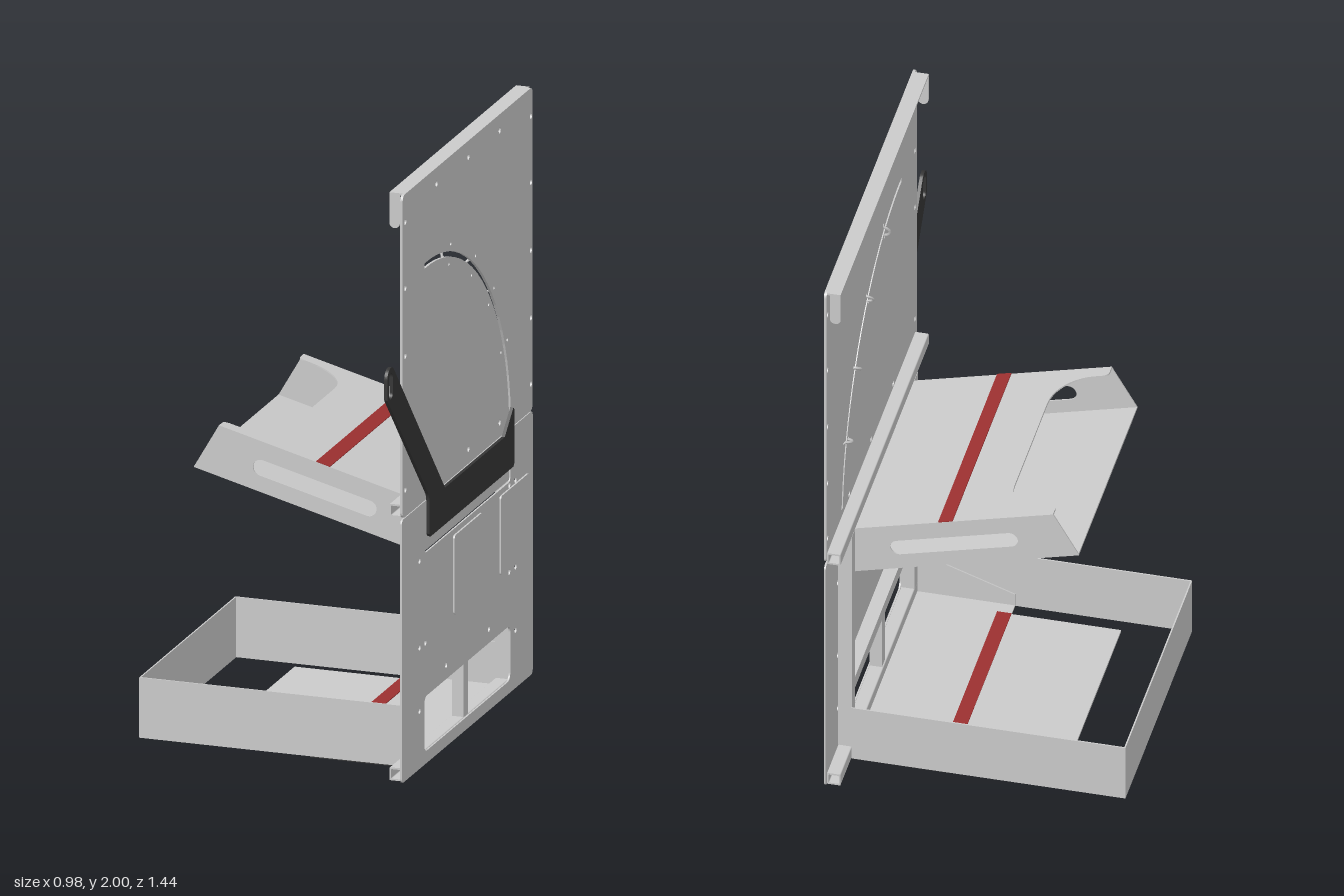
import * as THREE from 'three';

const grey = new THREE.MeshStandardMaterial({ color: 0xcacaca, name: 'light grey sheet' });
const black = new THREE.MeshStandardMaterial({ color: 0x353535, name: 'black' });
const red = new THREE.MeshStandardMaterial({ color: 0x9c3030, name: 'red' });

const V = (pts) => pts.map(([a, b]) => new THREE.Vector2(a, b));
const extrude = (shape, depth) => new THREE.ExtrudeGeometry(shape, { depth, bevelEnabled: false, curveSegments: 10 });

function roundRect(x0, y0, x1, y1, r, Type = THREE.Path) {
  const p = new Type();
  p.absarc(x1 - r, y1 - r, r, 0, Math.PI / 2);
  p.absarc(x0 + r, y1 - r, r, Math.PI / 2, Math.PI);
  p.absarc(x0 + r, y0 + r, r, Math.PI, Math.PI * 1.5);
  p.absarc(x1 - r, y0 + r, r, Math.PI * 1.5, Math.PI * 2);
  p.closePath();
  return p;
}

const circle = (x, y, r) => new THREE.Path().absarc(x, y, r, 0, Math.PI * 2);

export function createModel() {
  const root = new THREE.Group();

  function add(name, geo, mat = grey) {
    const m = new THREE.Mesh(geo, mat);
    m.name = name;
    root.add(m);
    return m;
  }
  function box(name, x0, x1, y0, y1, z0, z1, mat) {
    const g = new THREE.BoxGeometry(x1 - x0, y1 - y0, z1 - z0);
    g.translate((x0 + x1) / 2, (y0 + y1) / 2, (z0 + z1) / 2);
    return add(name, g, mat);
  }
  // Shape drawn in (-z, y), standing upright and facing +x
  function upright(name, shape, x0, x1, mat) {
    const g = extrude(shape, x1 - x0);
    g.rotateY(Math.PI / 2).translate(x0, 0, 0);
    return add(name, g, mat);
  }
  // Shape drawn in (x, y), extruded along z
  function along(name, shape, z0, z1, mat) {
    return add(name, extrude(shape, z1 - z0).translate(0, 0, z0), mat);
  }

  // Upper panel with the curved guide slot
  const P0 = 0.466, P1 = 0.475;
  const cu = -0.31, cy = 0.9, R = 0.8;
  const upper = roundRect(-0.54, 0.903, 0.705, 2, 0.02, THREE.Shape);
  const slot = new THREE.Path();
  slot.absarc(cu, cy, R + 0.009, 0.08, 1.595, false);
  slot.absarc(cu, cy, R - 0.009, 1.595, 0.08, true);
  slot.closePath();
  upper.holes.push(slot);
  for (const y of [1.905, 1.68, 1.45, 1.22, 0.995]) {
    upper.holes.push(circle(0.69, y, 0.01));
    if (y !== 1.22) upper.holes.push(circle(-0.515, y, 0.01));
  }
  for (const u of [-0.215, 0.09, 0.39])
    for (const y of [1.945, 0.953]) upper.holes.push(circle(u, y, 0.01));

  // Strap clips bridging the slot, with fixing holes either side
  for (const a of [0.385, 0.685, 0.975, 1.29]) {
    const rad = new THREE.Vector3(0, Math.sin(a), -Math.cos(a));
    const out = new THREE.Vector3(-1, 0, 0);
    const at = new THREE.Vector3(P0, cy + R * rad.y, 0.31 + R * rad.z);
    const g = new THREE.TorusGeometry(0.02, 0.005, 4, 6, Math.PI);
    g.applyMatrix4(new THREE.Matrix4().makeBasis(rad, out, rad.clone().cross(out)).setPosition(at));
    add('slotClip', g);
    for (const d of [-0.033, 0.033])
      upper.holes.push(circle(cu + (R + d) * Math.cos(a), cy + (R + d) * Math.sin(a), 0.006));
  }
  upright('upperPanel', upper, P0, P1);

  // Lower panel with shelf opening and tray window
  const lower = roundRect(-0.54, 0.003, 0.715, 0.897, 0.015, THREE.Shape);
  lower.holes.push(roundRect(-0.32, 0.72, 0.5, 0.88, 0.015));
  lower.holes.push(roundRect(-0.325, 0.045, 0.5, 0.232, 0.025));
  for (const [u, y] of [[-0.37, 0.71], [0.49, 0.71], [0.55, 0.71], [-0.37, 0.415], [-0.315, 0.415], [0.49, 0.415],
    [0.55, 0.415], [-0.115, 0.28], [0.295, 0.28], [-0.37, 0.2], [0.55, 0.2]]) lower.holes.push(circle(u, y, 0.01));
  upright('lowerPanel', lower, P0, P1 - 0.003);
  for (const u of [-0.05, 0.395])
    upright('coverPlate', roundRect(u, 0.43, u + 0.27, 0.7, 0.012, THREE.Shape), P1 - 0.003, P1 + 0.003);

  // Top flange with rounded end tabs
  box('topFlange', 0.42, P0, 1.993, 2, -0.7, 0.515);
  for (const z of [-0.7, 0.508]) {
    const tab = new THREE.Shape();
    tab.moveTo(0.42, 1.995);
    tab.lineTo(0.42, 1.9);
    tab.absarc(0.438, 1.898, 0.018, Math.PI, Math.PI * 2);
    tab.lineTo(0.456, 1.995);
    along('endTab', tab, z, z + 0.007);
  }

  // Square tube frame behind the lower panel
  for (const y of [0.003, 0.898]) {
    const t = roundRect(0.42, y, P0, y + 0.044, 0.004, THREE.Shape);
    t.holes.push(roundRect(0.426, y + 0.006, P0 - 0.006, y + 0.038, 0.003));
    along('frameRail', t, -0.7, 0.515);
  }
  for (const z of [-0.545, 0.32]) box('frameUpright', 0.42, P0, 0.047, 0.898, z, z + 0.045);
  box('frameCrossbar', 0.42, P0, 0.255, 0.298, -0.5, 0.32);
  box('framePost', 0.425, P0, 0.047, 0.255, -0.11, -0.07);

  // Tray: three walls, partial floor, gussets
  const t = 0.005;
  box('trayEndWall', -0.493, -0.493 + t, 0.005, 0.21, -0.553, 0.368);
  box('traySideWall', -0.493 + t, 0.42, 0.005, 0.21, -0.553, -0.553 + t);
  box('traySideWall', -0.493 + t, 0.42, 0.005, 0.21, 0.368 - t, 0.368);
  box('trayBase', 0.095, 0.42, 0, 0.005, -0.548, 0.363, black);
  box('trayBaseTop', 0.095, 0.42, 0.005, 0.011, -0.548, 0.363);
  box('trayFloor', -0.27, 0.095, 0.003, 0.011, -0.5, 0.31);
  box('trayStripe', 0.095, 0.143, 0.011, 0.014, -0.5, 0.31, red);
  const gusset = new THREE.Shape(V([[0.095, 0.008], [0.42, 0.008], [0.42, 0.155], [0.38, 0.155], [0.095, 0.055]]));
  for (const z of [-0.547, 0.357]) along('trayGusset', gusset, z, z + t);

  // Tilted shelf: two slotted sides, top with hand cutout, bottom, end
  const side = new THREE.Shape(V([[-0.325, 0.928], [0.42, 0.728], [0.42, 0.9], [-0.24, 1.075]]));
  const grip = new THREE.Path();
  const tilt = Math.atan2(0.175, 0.66);
  grip.absarc(-0.095, 0.948, 0.027, Math.PI / 2 - tilt, Math.PI * 1.5 - tilt);
  grip.absarc(0.276, 0.85, 0.027, -Math.PI / 2 - tilt, Math.PI / 2 - tilt);
  grip.closePath();
  side.holes.push(grip);
  for (const z of [-0.5, 0.307]) along('shelfSide', side, z, z + t);

  // Shape drawn in (distance down the slope, -z) from a start point
  function sloped(name, shape, x, y, depth, mat) {
    const c = Math.cos(tilt), s = Math.sin(tilt);
    const m = new THREE.Matrix4().makeBasis(new THREE.Vector3(c, -s, 0), new THREE.Vector3(0, 0, -1),
      new THREE.Vector3(s, c, 0)).setPosition(x, y, 0);
    return add(name, extrude(shape, depth).applyMatrix4(m), mat);
  }
  const L = Math.hypot(0.66, 0.175);
  const top = new THREE.Shape();
  top.moveTo(0, -0.312);
  top.lineTo(L, -0.312);
  top.lineTo(L, 0.5);
  top.lineTo(0, 0.5);
  top.lineTo(0, 0.47);
  top.quadraticCurveTo(0, 0.452, 0.025, 0.452);
  top.lineTo(0.045, 0.452);
  top.bezierCurveTo(0.12, 0.452, 0.177, 0.4, 0.177, 0.32);
  top.lineTo(0.177, -0.132);
  top.bezierCurveTo(0.177, -0.212, 0.12, -0.264, 0.045, -0.264);
  top.lineTo(0.025, -0.264);
  top.quadraticCurveTo(0, -0.264, 0, -0.282);
  sloped('shelfTop', top, -0.24, 1.072, t);
  const strip = (a, b) => new THREE.Shape(V([[a, -0.312], [b, -0.312], [b, 0.5], [a, 0.5]]));
  sloped('shelfStripe', strip(0.347, 0.396), -0.24, 1.0775, 0.003, red);
  sloped('shelfBottom', strip(0, 0.771), -0.325, 0.926, t);
  box('shelfEnd', 0.42, 0.468, 0.725, 0.878, -0.498, 0.31);

  // Black lever arm on the outside with a slotted grip
  const arm = new THREE.Shape();
  arm.moveTo(-0.305, 0.775);
  arm.lineTo(0.488, 0.775);
  arm.lineTo(0.5, 0.787);
  arm.lineTo(0.5, 0.965);
  arm.lineTo(0.488, 0.976);
  arm.lineTo(0.405, 0.9);
  arm.lineTo(-0.168, 0.9);
  arm.lineTo(-0.65, 1.44);
  arm.absarc(-0.686, 1.427, 0.035, 0.6, Math.PI);
  arm.lineTo(-0.721, 1.36);
  arm.lineTo(-0.33, 0.93);
  arm.quadraticCurveTo(-0.317, 0.915, -0.317, 0.895);
  arm.lineTo(-0.317, 0.787);
  arm.holes.push(roundRect(-0.705, 1.355, -0.669, 1.443, 0.0179));
  upright('leverArm', arm, P1 + 0.001, P1 + 0.012, black);

  return root;
}
